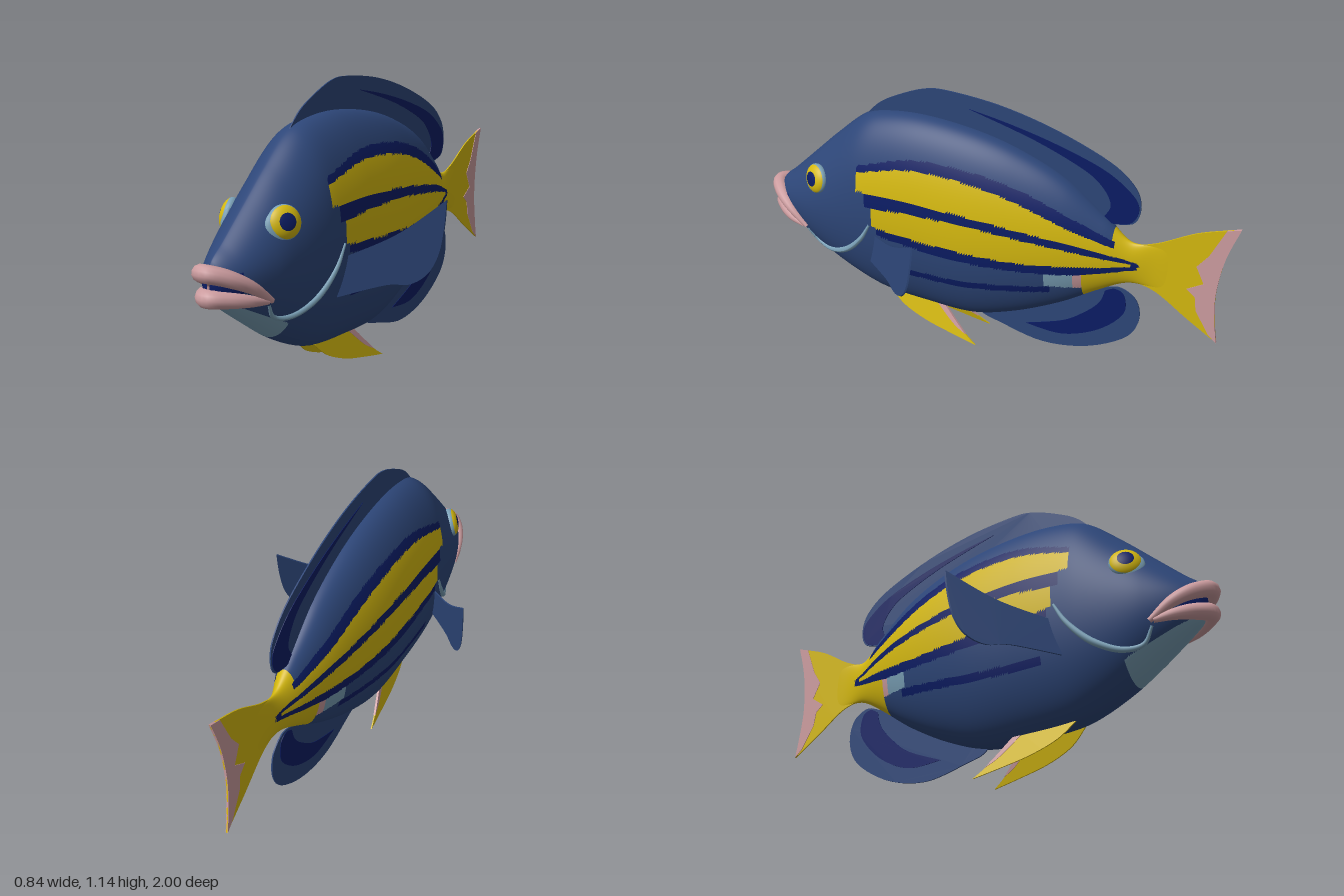
import * as THREE from 'three';

const paint = (name, color) => {
  const m = new THREE.MeshStandardMaterial({ color });
  m.name = name;
  return m;
};
const blue = paint('body blue', 0x2d4678);
const navy = paint('stripe navy', 0x0b1c64);
const yellow = paint('stripe yellow', 0xd4b80f);
const pink = paint('lip pink', 0xcc9c9f);
const pale = paint('pale blue', 0x7aa0b6);
const palette = [blue, navy, yellow, pink, pale];

// Body profile from nose to tail: z, top, bottom, half width
const profile = [
  [0.955, 0.54, 0.48, 0.005], [0.94, 0.585, 0.45, 0.04], [0.88, 0.64, 0.405, 0.09], [0.76, 0.755, 0.32, 0.14],
  [0.65, 0.86, 0.245, 0.163], [0.52, 0.97, 0.18, 0.179], [0.42, 1.005, 0.15, 0.183], [0.25, 1.02, 0.138, 0.184],
  [0.03, 1.0, 0.14, 0.177], [-0.15, 0.955, 0.2, 0.155], [-0.34, 0.87, 0.3, 0.116], [-0.5, 0.745, 0.41, 0.068],
  [-0.6, 0.662, 0.468, 0.03], [-0.68, 0.665, 0.475, 0.01], [-0.76, 0.68, 0.46, 0.002],
];
// Stripe edges: z, upper navy top, yellow top, yellow bottom, second yellow top and bottom, lower navy bottom
const stripes = [
  [0.5, 0.81, 0.785, 0.71, 0.64, 0.57, 0.54], [0.25, 0.885, 0.845, 0.715, 0.665, 0.55, 0.51],
  [0, 0.88, 0.835, 0.705, 0.665, 0.54, 0.495], [-0.2, 0.835, 0.785, 0.68, 0.645, 0.535, 0.495],
  [-0.4, 0.745, 0.7, 0.645, 0.615, 0.545, 0.505], [-0.55, 0.665, 0.64, 0.605, 0.585, 0.555, 0.53],
  [-0.65, 0.61, 0.6, 0.575, 0.567, 0.563, 0.55],
];

// Smooth interpolation of a table whose first column decreases
function sample(rows, z) {
  let i = 0;
  while (i < rows.length - 2 && z < rows[i + 1][0]) i++;
  const a = rows[i], b = rows[i + 1], p = rows[Math.max(i - 1, 0)], n = rows[Math.min(i + 2, rows.length - 1)];
  const d = b[0] - a[0], t = THREE.MathUtils.clamp((z - a[0]) / d, 0, 1);
  return a.map((v, k) => {
    const m0 = (b[k] - p[k]) / (b[0] - p[0]) * d, m1 = (n[k] - v) / (n[0] - a[0]) * d;
    return v + t * (m0 + t * (3 * (b[k] - v) - 2 * m0 - m1 + t * (2 * (v - b[k]) + m0 + m1)));
  });
}

// The upper head is pinched toward a ridge
const pinch = (z, up) => (up > 0 ? 1 + 0.35 * THREE.MathUtils.smoothstep(z, 0.4, 0.9) : 1);
function halfWidth(z, y) {
  const [, top, bottom, w] = sample(profile, z);
  const k = THREE.MathUtils.clamp((2 * y - top - bottom) / (top - bottom), -1, 1);
  return w * Math.pow(Math.sqrt(1 - k * k), pinch(z, k));
}

// Palette index for a spot on the flank
function markings(z, y) {
  const [, n1, y1, y1b, y2, y2b, n2] = sample(stripes, z);
  if (z > 0.88 && y > 0.47 && y < 0.55) return 1;
  if (z > 0.66 && y < 0.465 - 0.5 * (0.95 - z)) return 4;
  if (z < -0.645) return 2;
  if (z < 0.49 && y < n1 && y > y1 && z > -0.55) return 1;
  if (z < 0.49 && y <= y1 && y > y1b) return 2;
  if (z < 0.45 && y <= y1b && y > y2) return 1;
  if (z < 0.42 && y <= y2 && y > y2b) return z < -0.615 ? 1 : 2;
  if (z < 0.4 && y <= y2b && y > n2) return 1;
  if (z < -0.54 || (z < -0.44 && y < n2)) return 2;
  if (z < -0.3 && y < n2 && y > 0.435) return z < -0.41 ? 3 : 4;
  const low = 0.37 + 0.13 * Math.pow(Math.max(0, 0.1 - z), 1.2);
  if (z < 0.36 && z > -0.32 && Math.abs(y - low) < 0.016) return 1;
  return 0;
}

function makeBody() {
  const N = 170, R = 220, pos = [], buckets = palette.map(() => []);
  for (let i = 0; i <= N; i++) {
    const z = 0.955 - 1.715 * Math.pow(i / N, 1.1);
    const [, top, bottom, w] = sample(profile, z);
    for (let j = 0; j < R; j++) {
      const a = (j / R) * Math.PI * 2, s = Math.sin(a), c = Math.cos(a);
      pos.push(w * Math.sign(s) * Math.pow(Math.abs(s), pinch(z, c)), (top + bottom) / 2 + (top - bottom) / 2 * c, z);
    }
  }
  for (let i = 0; i < N; i++) for (let j = 0; j < R; j++) {
    const a = i * R + j, c = i * R + (j + 1) % R, b = a + R, d = c + R;
    for (const t of [[a, c, b], [c, d, b]]) {
      const mid = (k) => (pos[t[0] * 3 + k] + pos[t[1] * 3 + k] + pos[t[2] * 3 + k]) / 3;
      buckets[markings(mid(2), mid(1))].push(...t);
    }
  }
  const g = new THREE.BufferGeometry();
  g.setAttribute('position', new THREE.Float32BufferAttribute(pos, 3));
  g.setIndex(buckets.flat());
  let start = 0;
  buckets.forEach((b, k) => { g.addGroup(start, b.length, k); start += b.length; });
  g.computeVertexNormals();
  return g;
}

// Thin plate outlined by splines, each starting where the last one ended
function plate(thickness, start, ...runs) {
  const shape = new THREE.Shape().moveTo(...start);
  for (const run of runs) shape.splineThru(run.map((p) => new THREE.Vector2(...p)));
  return new THREE.ExtrudeGeometry(shape, { depth: thickness, bevelEnabled: false, curveSegments: 5 })
    .translate(0, 0, -thickness / 2);
}
const sidePlate = (...args) => plate(...args).rotateY(-Math.PI / 2);

function bend(g, rule) {
  const p = g.attributes.position, v = new THREE.Vector3();
  for (let i = 0; i < p.count; i++) {
    rule(v.fromBufferAttribute(p, i), i);
    p.setXYZ(i, v.x, v.y, v.z);
  }
  g.computeVertexNormals();
  return g;
}

// Tube that thins toward both ends
function taperedTube(points, radius, end) {
  const N = 48, R = 12, curve = new THREE.CatmullRomCurve3(points.map((p) => new THREE.Vector3(...p)));
  return bend(new THREE.TubeGeometry(curve, N, radius, R), (v, i) => {
    const u = Math.floor(i / (R + 1)) / N, c = curve.getPointAt(u);
    v.sub(c).multiplyScalar(end + (1 - end) * Math.sin(Math.PI * u)).add(c);
  });
}

export function createModel() {
  const fish = new THREE.Group();
  fish.name = 'fish';
  const add = (name, geometry, material, parent = fish) => {
    const m = new THREE.Mesh(geometry, material);
    m.name = name;
    parent.add(m);
    return m;
  };
  add('body', makeBody(), palette);

  // Dorsal fin and its stripe
  add('dorsalFin', sidePlate(0.005, [0.53, 0.95],
    [[0.46, 1.025], [0.38, 1.075], [0.25, 1.13], [0.14, 1.14], [-0.07, 1.12], [-0.29, 1.065], [-0.5, 0.98], [-0.6, 0.9],
      [-0.63, 0.82], [-0.61, 0.745], [-0.53, 0.72]], [[-0.45, 0.72], [-0.2, 0.85], [0.2, 0.95], [0.53, 0.95]]), blue);
  add('dorsalStripe', sidePlate(0.009, [0.065, 1.083],
    [[-0.1, 1.055], [-0.29, 1.01], [-0.48, 0.945], [-0.59, 0.87], [-0.624, 0.81], [-0.6, 0.745], [-0.53, 0.724]],
    [[-0.49, 0.735], [-0.515, 0.8], [-0.48, 0.87], [-0.4, 0.93], [-0.2, 1.01], [0.065, 1.083]]), navy);

  // Anal fin and its stripe
  add('analFin', sidePlate(0.005, [0.05, 0.17],
    [[0.01, 0.125], [-0.07, 0.1], [-0.26, 0.06], [-0.45, 0.095], [-0.61, 0.19], [-0.665, 0.29], [-0.65, 0.39],
      [-0.58, 0.435], [-0.51, 0.415]], [[-0.45, 0.42], [-0.3, 0.34], [-0.1, 0.24], [0.05, 0.17]]), blue);
  add('analStripe', sidePlate(0.009, [-0.19, 0.135],
    [[-0.35, 0.13], [-0.5, 0.2], [-0.6, 0.31], [-0.6, 0.4], [-0.56, 0.425], [-0.52, 0.405]],
    [[-0.5, 0.34], [-0.44, 0.27], [-0.35, 0.2], [-0.19, 0.135]]), navy);

  // Forked tail with a ragged rear edge band
  const rear = [[-0.96, 0.675], [-0.945, 0.51], [-0.96, 0.37], [-0.975, 0.29]];
  add('tailFin', sidePlate(0.005, [-0.6, 0.64], [[-0.71, 0.683], [-0.85, 0.765], [-1, 0.82]], rear,
    [[-0.85, 0.37], [-0.715, 0.46], [-0.6, 0.485]], [[-0.6, 0.64]]), yellow);
  add('tailEdge', sidePlate(0.009, [-0.95, 0.803], [[-1, 0.82]], rear, [[-0.94, 0.32]], [[-0.88, 0.42]],
    [[-0.87, 0.48]], [[-0.835, 0.51]], [[-0.895, 0.55]], [[-0.86, 0.62]], [[-0.9, 0.68]], [[-0.95, 0.803]]), pink);

  // Lips
  add('upperLip', taperedTube([[-0.122, 0.435, 0.775], [-0.1, 0.5, 0.86], [-0.055, 0.54, 0.93], [0, 0.555, 0.968],
    [0.055, 0.54, 0.93], [0.1, 0.5, 0.86], [0.122, 0.435, 0.775]], 0.032, 0.3), pink);
  add('lowerLip', taperedTube([[-0.118, 0.435, 0.79], [-0.095, 0.45, 0.86], [-0.052, 0.462, 0.92], [0, 0.467, 0.96],
    [0.052, 0.462, 0.92], [0.095, 0.45, 0.86], [0.118, 0.435, 0.79]], 0.032, 0.3), pink);

  for (const s of [1, -1]) {
    const side = s > 0 ? 'left' : 'right';

    // Eye: pale rim, yellow iris, dark pupil
    const eye = new THREE.Group();
    eye.name = side + 'Eye';
    eye.position.set(s * (halfWidth(0.7, 0.69) - 0.006), 0.69, 0.7);
    eye.quaternion.setFromUnitVectors(new THREE.Vector3(0, 1, 0), new THREE.Vector3(s * 0.86, 0.24, 0.42).normalize());
    fish.add(eye);
    const band = (name, from, to, m) => add(name,
      new THREE.SphereGeometry(1, 32, 10, 0, Math.PI * 2, from, to - from).scale(0.062, 0.034, 0.062), m, eye);
    band('pupil', 0, 0.52, navy);
    band('iris', 0.52, 1.2, yellow);
    band('eyeRim', 1.2, 2.2, pale);
    const rim = add('rimCrescent', new THREE.SphereGeometry(1, 28, 14).scale(0.06, 0.022, 0.06), pale);
    rim.position.copy(eye.position).add(new THREE.Vector3(-s * 0.004, -0.01, 0.012));
    rim.quaternion.copy(eye.quaternion);

    // Gill cover edge
    const gill = [[0.43, 0.57], [0.48, 0.485], [0.57, 0.395], [0.67, 0.352], [0.74, 0.365], [0.78, 0.42]];
    add(side + 'GillEdge', taperedTube(gill.map(([z, y]) => [s * halfWidth(z, y), y, z]), 0.013, 0.4), pale);

    // Pectoral fin swept outward and back
    const pec = [[0.3, 0.585], [0.42, 0.7]], round = [[0.419, 0.6], [0.41, 0.5], [0.385, 0.43], [0.34, 0.395],
      [0.28, 0.4], [0.16, 0.37]];
    const flip = (run) => run.map(([x, y]) => [s * x, y]);
    add(side + 'PectoralFin', bend(plate(0.007, [s * 0.16, 0.51], flip(pec), flip(round), [[s * 0.16, 0.51]]),
      (v) => { v.z += 0.42 - (Math.abs(v.x) - 0.17) * 1.15 - (v.y - 0.5) * 0.12; }), blue);

    // Pelvic fin splayed downward, with a pink trailing edge
    const splay = (v) => { v.x += s * (0.04 + (0.15 - v.y) * 0.26); };
    add(side + 'PelvicFin', bend(sidePlate(0.005, [0.43, 0.16],
      [[0.36, 0.1], [0.25, 0.055], [0.12, 0.025], [0.01, 0.003]], [[0.06, 0.04], [0.11, 0.09], [0.17, 0.15]],
      [[0.43, 0.16]]), splay), yellow);
    add(side + 'PelvicEdge', bend(sidePlate(0.009, [0.2, 0.148],
      [[0.17, 0.15], [0.11, 0.09], [0.06, 0.04]], [[0.12, 0.075], [0.2, 0.148]]), splay), pink);
  }
  return fish;
}
